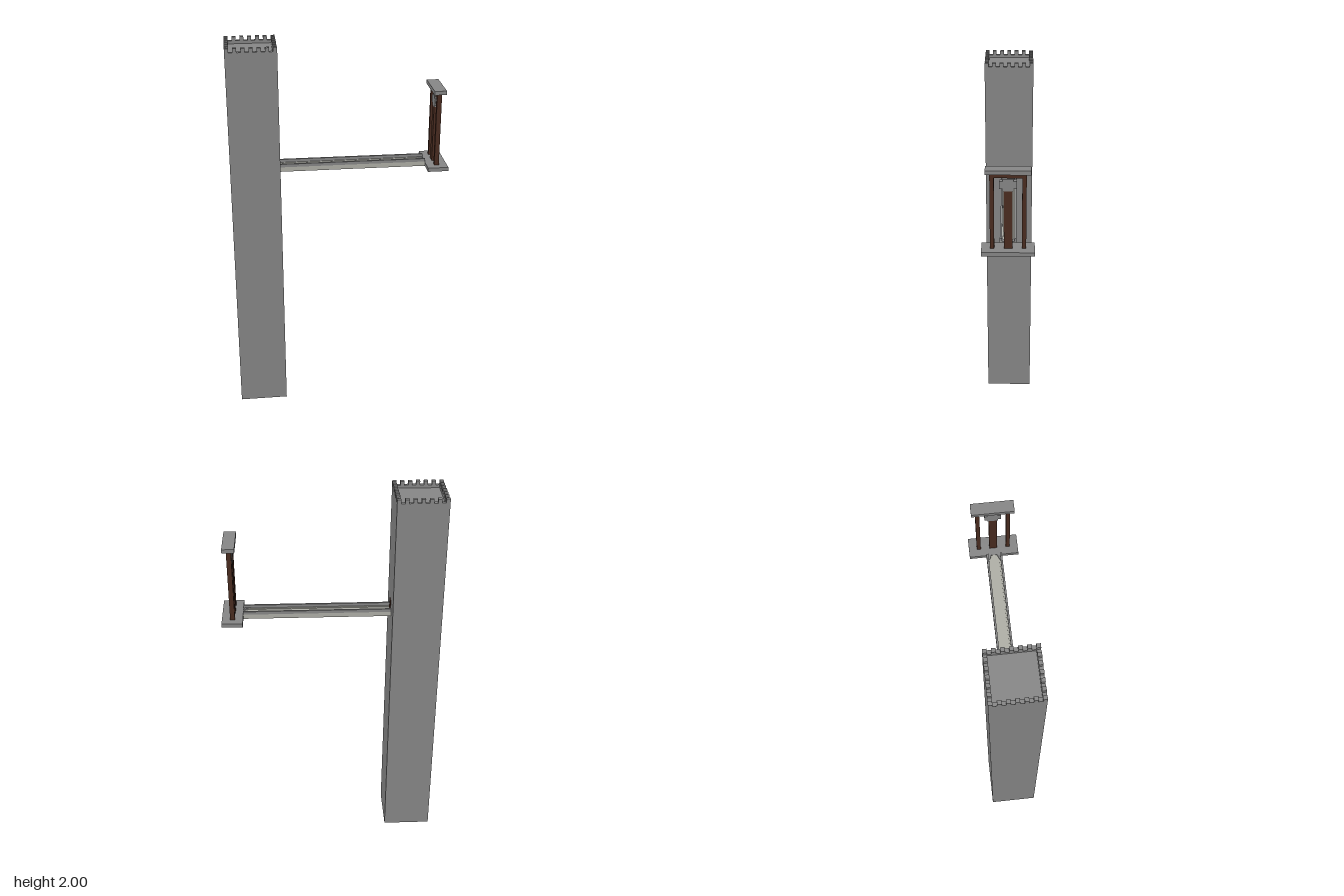
import * as THREE from 'three';

export function createModel() {
  const model = new THREE.Group();
  const mat = (name, color) => {
    const m = new THREE.MeshStandardMaterial({ color });
    m.name = name;
    return m;
  };
  const stone = mat('grey stone', 0x888888);
  const paleStone = mat('pale stone', 0xb0b0a8);
  const wood = mat('dark wood', 0x4a2c20);

  // Box from its minimum and maximum on each axis
  const box = (name, m, [x0, x1], [y0, y1], [z0, z1], parent = model) => {
    const mesh = new THREE.Mesh(new THREE.BoxGeometry(x1 - x0, y1 - y0, z1 - z0), m);
    mesh.position.set((x0 + x1) / 2, (y0 + y1) / 2, (z0 + z1) / 2);
    mesh.name = name;
    parent.add(mesh);
    return mesh;
  };
  const group = (name) => {
    const g = new THREE.Group();
    g.name = name;
    model.add(g);
    return g;
  };

  // Tower shaft
  const H = 0.126, TX = -0.432, ROOF = 1.965, WALL = 1.98;
  const tower = group('tower');
  box('towerShaft', stone, [TX - H, TX + H], [0, ROOF], [-H, H], tower);

  // Parapet: a square ring around the sunken roof
  const cells = 13, cell = (2 * H) / cells, inner = H - cell;
  const square = (Type, s) => new Type([[-s, -s], [s, -s], [s, s], [-s, s]].map(([x, y]) => new THREE.Vector2(x, y)));
  const ring = square(THREE.Shape, H);
  ring.holes.push(square(THREE.Path, inner));
  const parapet = new THREE.Mesh(
    new THREE.ExtrudeGeometry(ring, { depth: WALL - ROOF, bevelEnabled: false }).rotateX(-Math.PI / 2), stone);
  parapet.position.set(TX, ROOF, 0);
  parapet.name = 'parapet';
  tower.add(parapet);

  // Merlons on every other cell of the parapet
  for (let i = 0; i < cells; i += 2) {
    for (let j = 0; j < cells; j += 2) {
      if (i % (cells - 1) && j % (cells - 1)) continue;
      const x = TX - H + i * cell, z = -H + j * cell;
      box('merlon', stone, [x, x + cell], [WALL, 2], [z, z + cell], tower);
    }
  }

  // Doorway where the bridge meets the tower
  const B0 = TX + H, B1 = 0.45;
  box('doorway', wood, [B0, B0 + 0.004], [1.35, 1.405], [-0.018, 0.018], tower);

  // Bridge deck with curbs and rails
  const bridge = group('bridge');
  box('bridgeDeck', paleStone, [B0, B1], [1.33, 1.348], [-0.04, 0.04], bridge);
  for (const s of [-1, 1]) {
    const side = (a, b) => [Math.min(a * s, b * s), Math.max(a * s, b * s)];
    box('bridgeCurb', paleStone, [B0, B1], [1.348, 1.354], side(0.024, 0.04), bridge);
    box('bridgeRail', stone, [B0, B1], [1.354, 1.37], side(0.03, 0.04), bridge);

    // Corner gusset where the rail meets the platform
    const tri = new THREE.Shape([[0.41, 0.03], [0.45, 0.03], [0.45, 0.014]].map(([x, z]) => new THREE.Vector2(x, -z * s)));
    const gusset = new THREE.Mesh(
      new THREE.ExtrudeGeometry(tri, { depth: 0.008, bevelEnabled: false }).rotateX(-Math.PI / 2), stone);
    gusset.position.y = 1.348;
    gusset.name = 'railGusset';
    bridge.add(gusset);
  }

  // Platform with a roofed timber frame
  const frame = group('gateFrame');
  const PX = [0.49, 0.514];
  box('platform', stone, [B1, 0.556], [1.33, 1.35], [-H, H], frame);
  box('frameRoof', stone, [0.472, 0.534], [1.73, 1.75], [-0.105, 0.105], frame);
  box('frameBeam', wood, PX, [1.707, 1.73], [-0.085, 0.085], frame);
  for (const z of [-0.075, 0.075]) {
    box('framePost', wood, PX, [1.35, 1.707], [z - 0.01, z + 0.01], frame);
  }

  // Central column with a stepped stone head
  box('column', wood, PX, [1.35, 1.642], [-0.02, 0.02], frame);
  const head = group('columnHead');
  box('headCore', stone, PX, [1.642, 1.7], [-0.025, 0.025], head);
  for (const s of [-1, 1]) {
    box('headArm', stone, PX, [1.654, 1.69], s < 0 ? [-0.04, -0.025] : [0.025, 0.04], head);
  }
  return model;
}
